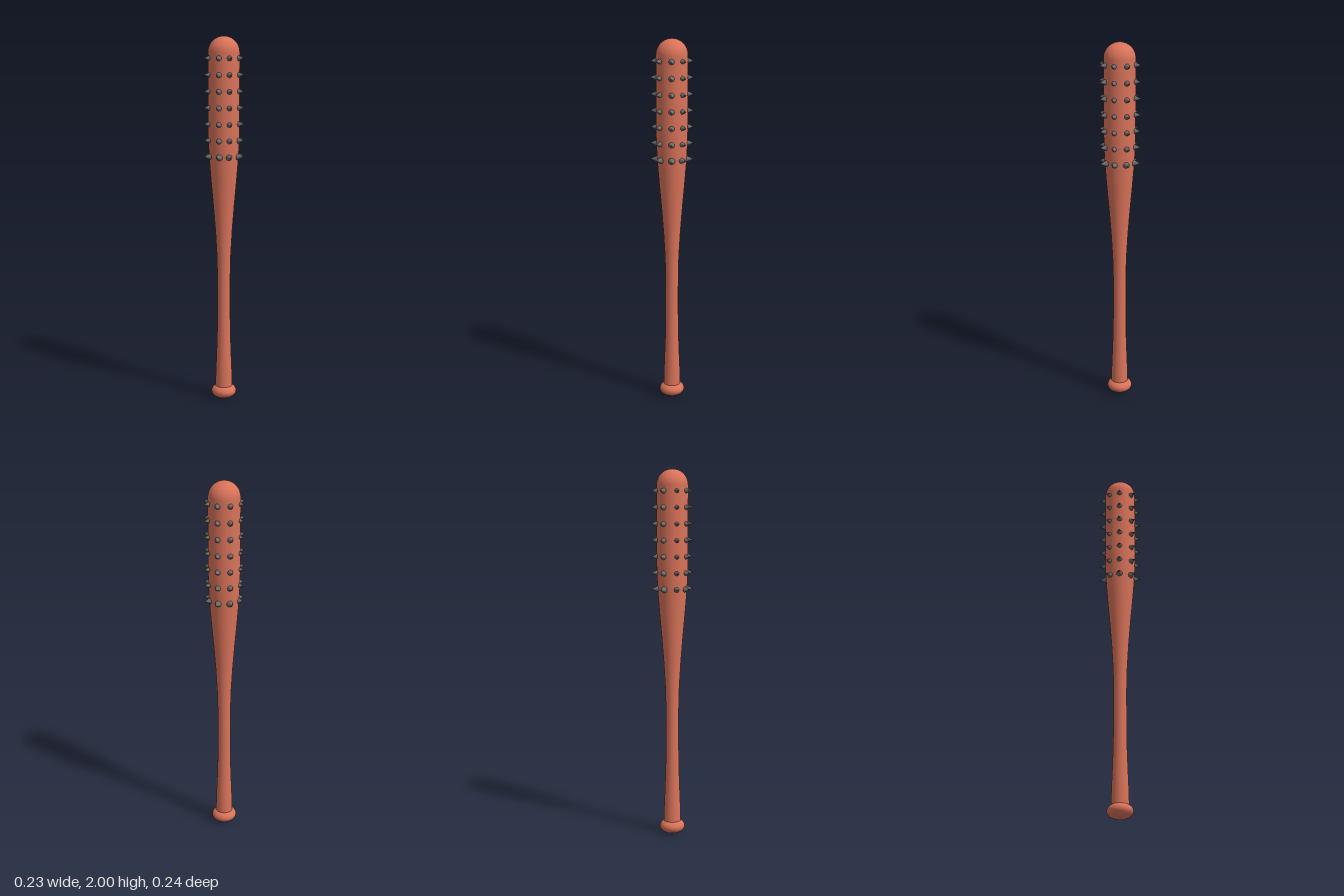
import * as THREE from 'three';

const CX = -0.005, CZ = -0.001; // bat axis

export function createModel() {
  const group = new THREE.Group();
  const wood = new THREE.MeshStandardMaterial({ color: 0xd9735a });
  const metal = new THREE.MeshStandardMaterial({ color: 0x6e6e6e });

  const lathe = (name, points) => {
    const mesh = new THREE.Mesh(new THREE.LatheGeometry(points, 32), wood);
    mesh.name = name;
    mesh.position.set(CX, 0, CZ);
    group.add(mesh);
  };

  // Rounded knob at the end of the handle
  const knob = [];
  for (let i = 0; i <= 14; i++) {
    const a = -Math.PI / 2 + (i / 14) * Math.PI * 0.76;
    knob.push(new THREE.Vector2(Math.max(0, 0.069 * Math.cos(a)), 0.042 + 0.042 * Math.sin(a)));
  }
  knob.push(new THREE.Vector2(0.04, 0.076));
  lathe('knob', knob);

  // Tapered handle swelling into the barrel, closed by a dome
  const body = [
    [0.047, 0.068], [0.045, 0.15], [0.041, 0.25], [0.037, 0.36], [0.035, 0.5],
    [0.035, 0.7], [0.038, 0.82], [0.046, 0.96], [0.057, 1.1], [0.068, 1.22],
    [0.077, 1.33], [0.083, 1.43], [0.085, 1.52], [0.085, 1.75],
  ].map(([r, y]) => new THREE.Vector2(r, y));
  for (let i = 0; i <= 10; i++) {
    const a = (i / 10) * Math.PI / 2;
    body.push(new THREE.Vector2(i === 10 ? 0 : 0.085 * Math.cos(a), 1.915 + 0.085 * Math.sin(a)));
  }
  lathe('bat', body);

  // Seven rings of eight spikes around the barrel
  const spikes = new THREE.Group();
  spikes.name = 'spikes';
  const cone = new THREE.ConeGeometry(0.021, 0.05, 16);
  cone.translate(0, -0.025, 0); // tip at the origin
  const up = new THREE.Vector3(0, 1, 0);
  const tips = [
    [0.115, -0.003], [0.078, 0.082], [0.003, 0.117], [-0.086, 0.083],
    [-0.117, 0.006], [-0.09, -0.085], [-0.005, -0.12], [0.078, -0.081],
  ];
  for (let row = 0; row < 7; row++) {
    tips.forEach(([x, z], i) => {
      const spike = new THREE.Mesh(cone, metal);
      spike.name = 'spike';
      const a = i * Math.PI / 4;
      spike.position.set(x, 1.364 + row * 0.0868, z);
      spike.quaternion.setFromUnitVectors(up, new THREE.Vector3(Math.cos(a), 0, Math.sin(a)));
      spikes.add(spike);
    });
  }
  group.add(spikes);
  return group;
}
